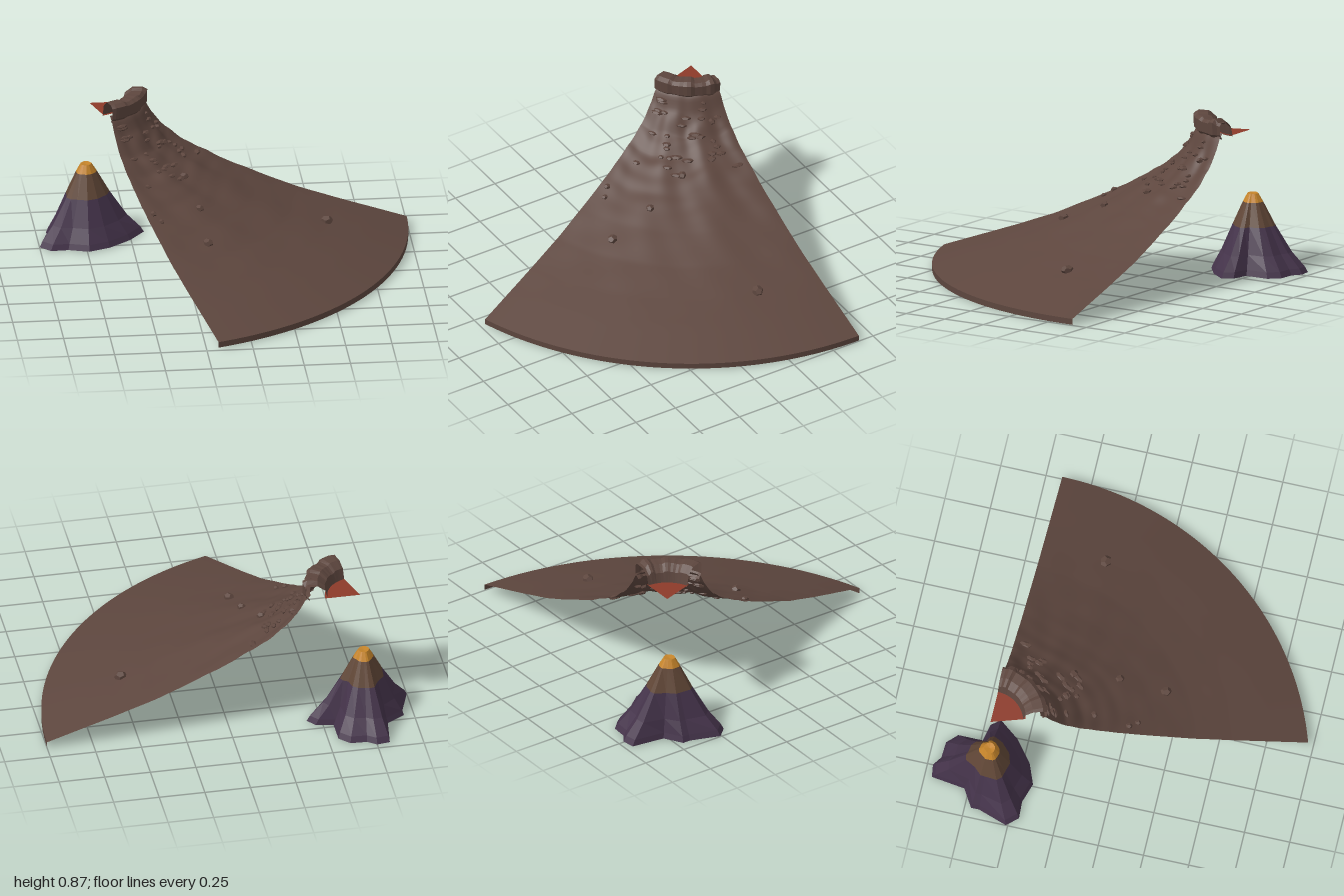
import * as THREE from 'three';

const mat = (name, color) => new THREE.MeshStandardMaterial({ name, color, side: THREE.DoubleSide });
const CX = -0.715, CZ = -0.66, R = 1.715, ARC = Math.PI * 0.4;

// Slope profile as [radius, height]
const PROFILE = [[0.27, 0.8], [0.3, 0.77], [0.33, 0.71], [0.41, 0.61], [0.51, 0.53], [0.71, 0.42],
  [0.91, 0.325], [1.11, 0.24], [1.31, 0.17], [1.51, 0.105], [R, 0.037]];

function heightAt(r) {
  let i = 1;
  while (i < PROFILE.length - 1 && PROFILE[i][0] < r) i++;
  const [r0, y0] = PROFILE[i - 1], [r1, y1] = PROFILE[i];
  return y0 + (y1 - y0) * (r - r0) / (r1 - r0);
}

// Height with gullies, ledges and soft weathering, fading toward the foot
function groundAt(r, t) {
  const fade = Math.max(0, 1 - (r - 0.27) / 1.2) * Math.min(1, (r - 0.27) * 10);
  const gully = -0.014 * Math.sin(t / ARC * Math.PI) + 0.009 * Math.cos(t * 15);
  const ledges = 0.007 * Math.sin(r * 62 + 2.5 * Math.sin(t * 5)) * Math.max(0, 1 - r / 0.9);
  const rough = 0.004 * Math.sin(r * 23 + t * 9) * Math.sin(t * 21 - r * 6);
  return heightAt(r) + fade * (gully + ledges + rough);
}

// Surface from a rule: i runs around, j runs outward
function grid(ni, nj, point, flat) {
  const pos = [], index = [];
  for (let j = 0; j <= nj; j++) for (let i = 0; i <= ni; i++) pos.push(...point(i, j));
  for (let j = 0; j < nj; j++) for (let i = 0; i < ni; i++) {
    const a = j * (ni + 1) + i, c = a + ni + 1;
    index.push(a, a + 1, c, a + 1, c + 1, c);
  }
  let g = new THREE.BufferGeometry();
  g.setAttribute('position', new THREE.Float32BufferAttribute(pos, 3));
  g.setIndex(index);
  if (flat) g = g.toNonIndexed();
  g.computeVertexNormals();
  return g;
}

const polar = (r, y, t) => [CX + r * Math.cos(t), y, CZ + r * Math.sin(t)];

export function createModel() {
  const model = new THREE.Group();
  model.name = 'volcano';
  const rock = mat('brown rock', 0x5d463e);
  const lava = mat('dull red lava', 0x8c3a29);
  const purple = mat('purple rock', 0x44334a);
  const upper = mat('cone brown', 0x604636);
  const orange = mat('orange tip', 0xc5842a);
  const add = (name, geometry, material, parent = model) => {
    const m = new THREE.Mesh(geometry, material);
    m.name = name;
    parent.add(m);
    return m;
  };
  let seed = 7;
  const rnd = () => (seed = (seed * 16807) % 2147483647) / 2147483647;

  // Wedge-shaped mountainside and the low wall along its foot
  add('slope', grid(64, 110, (i, j) => {
    const t = ARC * i / 64, r = 0.27 + (R - 0.27) * Math.pow(j / 110, 1.25);
    return polar(r, groundAt(r, t), t);
  }), rock);
  add('footWall', grid(64, 1, (i, j) => polar(R, j ? 0.005 : 0.037, ARC * i / 64)), rock);

  // Blocky crater rim
  const rim = [[0.175, 0.765], [0.19, 0.83], [0.23, 0.862], [0.285, 0.865], [0.305, 0.85], [0.303, 0.79], [0.28, 0.765]];
  const jitter = Array.from({ length: 10 }, () => rnd() - 0.5);
  add('craterRim', grid(18, rim.length - 1, (i, j) => {
    const k = jitter[i >> 1], [r, y] = rim[j];
    const up = j > 0 && j < 5 ? 0.018 * k : 0;
    return polar(r + (j > 3 ? 0.014 * k : 0), y + up, ARC * i / 18);
  }, true), rock);

  // Lava pool wedge inside the rim
  add('lavaPool', grid(16, 1, (i, j) => polar(j * 0.19, 0.772, ARC * i / 16)), lava);

  // Boulders and broken ledges: [x, z, size]
  const stones = new THREE.Group();
  stones.name = 'stones';
  model.add(stones);
  const stone = (name, r, t, sx, sy, sz) => {
    const m = add(name, new THREE.DodecahedronGeometry(1).scale(sx, sy, sz), rock, stones);
    m.position.set(...polar(r, groundAt(r, t) + sy * 0.2, t));
    m.rotation.y = -t;
  };
  for (const [x, z, s] of [[0.53, -0.31, 0.037], [-0.18, -0.07, 0.026], [-0.16, 0.18, 0.032], [-0.24, -0.31, 0.026],
    [-0.44, 0.04, 0.02], [-0.4, 0.08, 0.018], [-0.36, -0.57, 0.022]]) {
    stone('boulder', Math.hypot(x - CX, z - CZ), Math.atan2(z - CZ, x - CX), s, s * 0.75, s * 0.85);
  }
  for (let n = 0; n < 34; n++) {
    const r = 0.31 + 0.3 * rnd(), t = ARC * (0.05 + 0.9 * rnd());
    stone('ledge', r, t, 0.012 + 0.008 * rnd(), 0.01, 0.015 + 0.025 * rnd());
  }

  // Small lobed cone beside the mountain
  const outline = [[0.315, -0.01], [0.23, 0.1], [0.11, 0.195], [-0.005, 0.24], [-0.115, 0.205], [-0.21, 0.21],
    [-0.265, 0.15], [-0.21, -0.01], [-0.21, -0.055], [-0.11, -0.115], [-0.085, -0.3], [-0.015, -0.31],
    [0.035, -0.275], [0.125, -0.27], [0.18, -0.215], [0.18, -0.08], [0.275, -0.06]];
  const N = outline.length;
  const cone = new THREE.Group();
  cone.name = 'smallCone';
  cone.position.set(-0.735, 0, -0.66);
  model.add(cone);
  // Rings as [height, scale, roundness]
  const band = (name, rings, material) => add(name, grid(N, rings.length - 1, (i, j) => {
    const [x, z] = outline[i % N], [y, s, round] = rings[j];
    const k = s * (1 - round + round * 0.25 / Math.hypot(x, z));
    return [x * k, y, z * k];
  }, true), material, cone);
  band('coneTip', [[0.415, 0, 1], [0.42, 0.12, 0.8], [0.375, 0.22, 0.7]], orange);
  band('coneUpper', [[0.375, 0.22, 0.7], [0.25, 0.46, 0.5]], upper);
  band('coneLower', [[0.25, 0.46, 0.5], [0.11, 0.74, 0.2], [0.035, 0.94, 0], [0.004, 1, 0]], purple);
  band('coneBase', [[0.004, 1, 0], [0.004, 0, 0]], purple);
  band('baseRing', [[0.002, 0.2, 0.7], [0.002, 0.12, 0.8]], upper);
  band('baseSpot', [[0.001, 0.12, 0.8], [0.001, 0, 1]], orange);
  return model;
}
